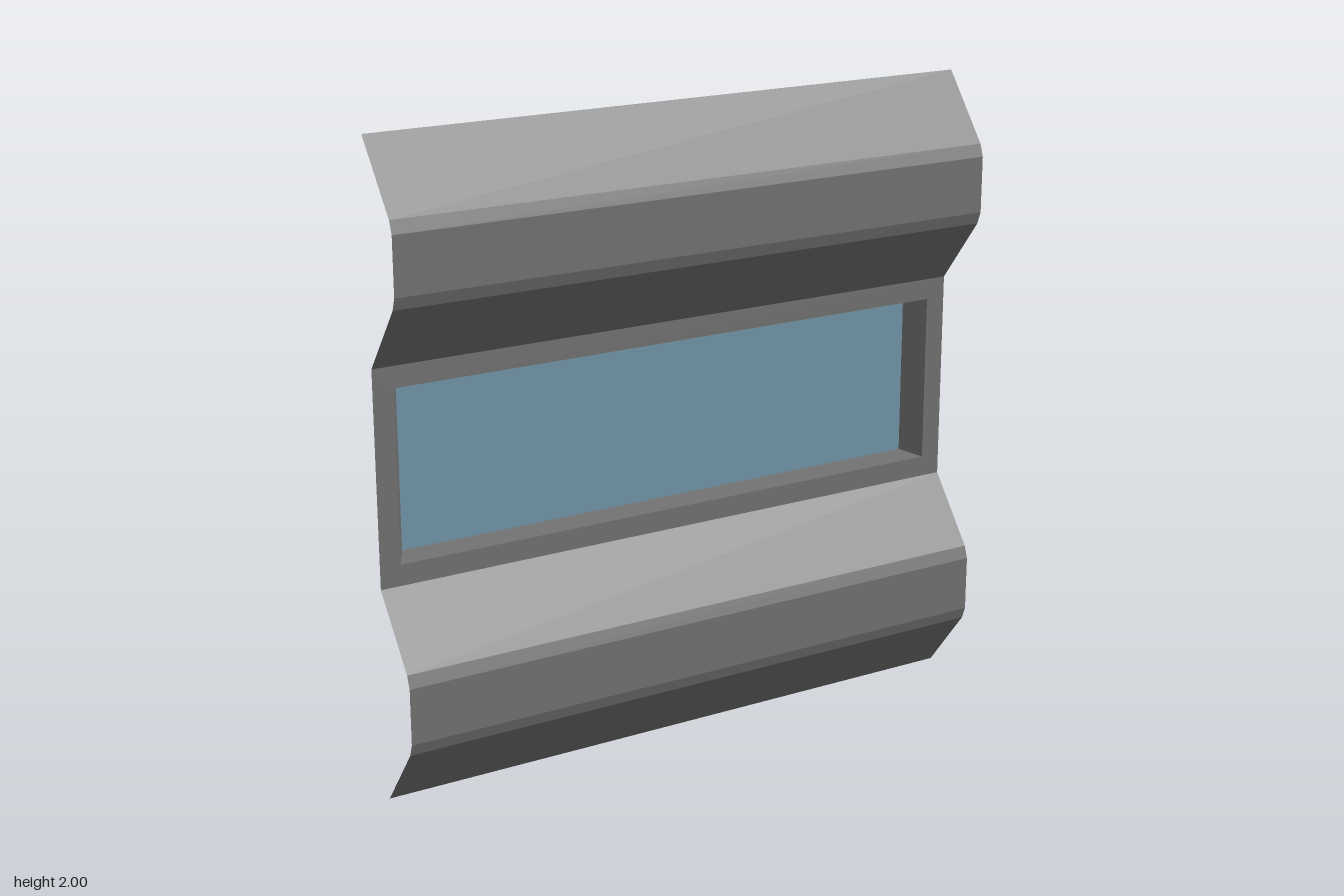
import * as THREE from 'three';

const BACK = -0.05, GLASS = -0.125;
const metal = new THREE.MeshStandardMaterial({ color: 0x707070, flatShading: true, side: THREE.DoubleSide });
const glass = new THREE.MeshStandardMaterial({ color: 0x7092a7, flatShading: true, side: THREE.DoubleSide });

// Skin two matching lines of points with quads
function loft(a, b) {
  const pos = [], index = [], n = a.length;
  for (const [x, y, z] of [...a, ...b]) pos.push(x, y, z);
  for (let i = 0; i < n - 1; i++) index.push(i, n + i, i + 1, i + 1, n + i, n + i + 1);
  const g = new THREE.BufferGeometry();
  g.setAttribute('position', new THREE.Float32BufferAttribute(pos, 3));
  g.setIndex(index);
  const flat = g.toNonIndexed();
  flat.computeVertexNormals();
  return flat;
}

// Corners of a rectangle centred at height 1
const corners = (hw, hh) => [[-hw, 1 - hh], [hw, 1 - hh], [hw, 1 + hh], [-hw, 1 + hh]];
const toPoints = (list) => list.map(([x, y]) => new THREE.Vector2(x, y));

export function createModel() {
  const group = new THREE.Group();
  const add = (name, geometry, material) => {
    const mesh = new THREE.Mesh(geometry, material);
    mesh.name = name;
    group.add(mesh);
    return mesh;
  };

  // Pressed rib profile as [height, depth], used below and above the window
  const rib = [[0, BACK], [0.207, 0.111], [0.245, 0.125], [0.421, 0.125], [0.46, 0.111], [0.667, BACK]];
  const edge = (x) => rib.map(([y, z]) => [x, y, z]);
  add('lowerRib', loft(edge(1), edge(-1)), metal);
  add('upperRib', loft(edge(1), edge(-1)), metal).position.y = 1.333;

  // Flat middle panel with the window opening
  const panel = new THREE.Shape(toPoints(corners(1, 0.333)));
  panel.holes.push(new THREE.Path(toPoints(corners(0.935, 0.267))));
  add('windowPanel', new THREE.ShapeGeometry(panel), metal).position.z = BACK;

  // Tapered reveal running back to the pane
  const ring = (hw, hh, z) => {
    const c = corners(hw, hh).map(([x, y]) => [x, y, z]);
    return [...c, c[0]];
  };
  add('windowReveal', loft(ring(0.935, 0.267, BACK), ring(0.895, 0.255, GLASS)), metal);

  // Window pane
  add('windowPane', new THREE.PlaneGeometry(1.79, 0.51), glass).position.set(0, 1, GLASS);

  return group;
}
